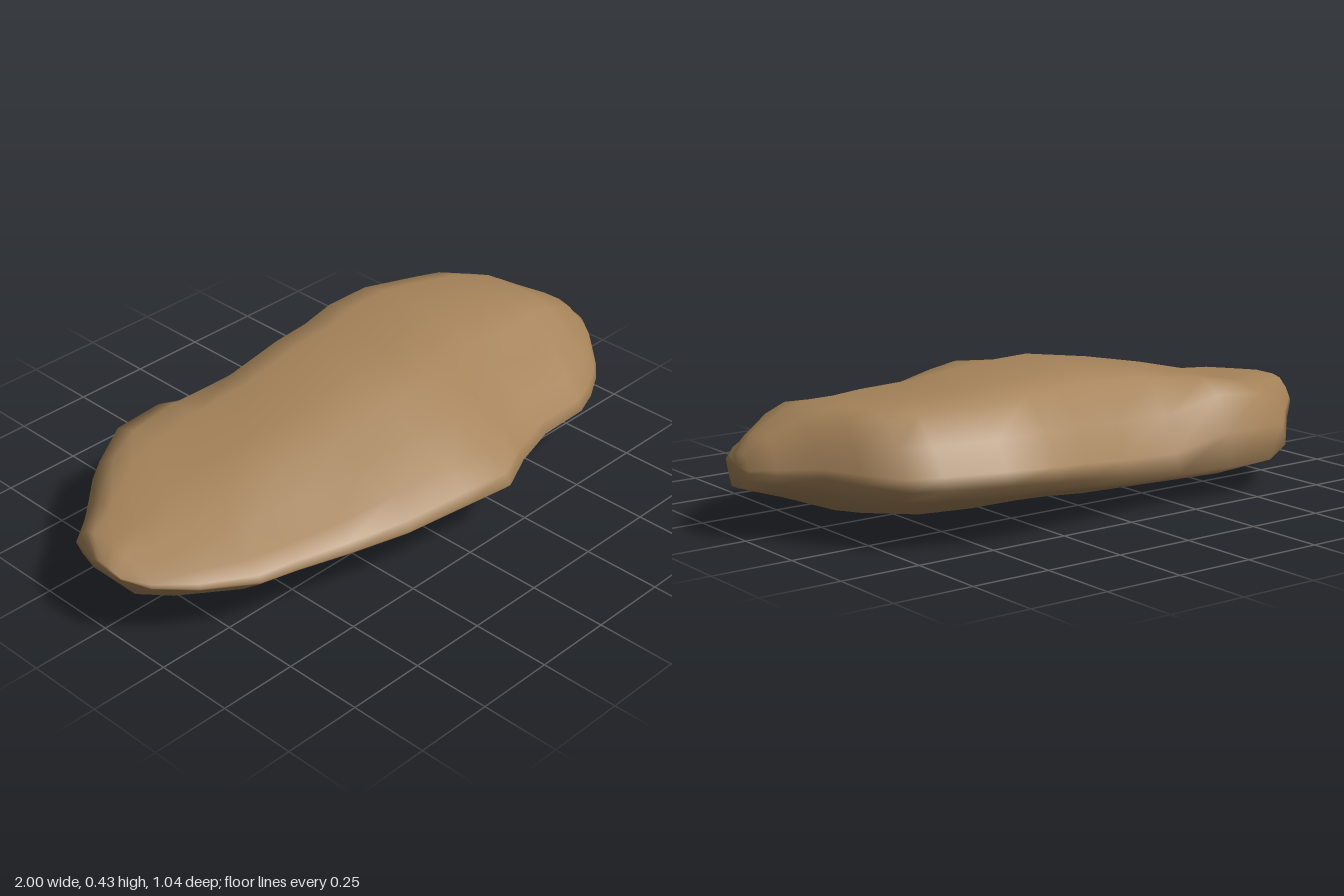
import * as THREE from 'three';

const lerp = THREE.MathUtils.lerp;

// Cross-sections along the length:
// x, back z, back edge y, front z, front edge y, top y, bottom y, rear underside y
const SECTIONS = [
  [-1.00, -0.04, 0.22, 0.09, 0.22, 0.235, 0.205, 0.205],
  [-0.95, -0.17, 0.19, 0.16, 0.20, 0.268, 0.14, 0.14],
  [-0.85, -0.26, 0.16, 0.25, 0.19, 0.285, 0.105, 0.11],
  [-0.70, -0.41, 0.12, 0.34, 0.18, 0.31, 0.06, 0.07],
  [-0.58, -0.47, 0.10, 0.37, 0.18, 0.325, 0.045, 0.05],
  [-0.42, -0.47, 0.10, 0.42, 0.18, 0.36, 0.035, 0.03],
  [-0.23, -0.45, 0.10, 0.47, 0.18, 0.395, 0.025, 0.03],
  [0.00, -0.48, 0.13, 0.50, 0.18, 0.425, 0.01, 0.04],
  [0.15, -0.50, 0.15, 0.52, 0.18, 0.425, 0.003, 0.055],
  [0.28, -0.525, 0.165, 0.46, 0.18, 0.425, 0.00, 0.07],
  [0.45, -0.525, 0.18, 0.405, 0.17, 0.415, 0.003, 0.075],
  [0.63, -0.46, 0.18, 0.40, 0.17, 0.40, 0.03, 0.085],
  [0.72, -0.42, 0.18, 0.365, 0.17, 0.39, 0.052, 0.095],
  [0.80, -0.31, 0.19, 0.32, 0.18, 0.382, 0.08, 0.11],
  [0.86, -0.20, 0.20, 0.27, 0.19, 0.35, 0.10, 0.125],
  [0.95, -0.10, 0.20, 0.17, 0.21, 0.30, 0.13, 0.14],
  [1.00, -0.03, 0.20, 0.10, 0.22, 0.25, 0.147, 0.155],
];

// One closed ring: over the top from back to front, then back underneath
function ring([x, zb, yb, zf, yf, top, low, rear]) {
  const h = top - low;
  const dip = 0.03 * h * Math.sin(x * 9);
  // The rear shoulder stands up into a steep ledge near the -x end
  const ledge = Math.exp(-(((x + 0.53) / 0.22) ** 2));
  return [
    [0, yb],
    [0.02, lerp(yb, top, 0.16 + 0.3 * ledge)],
    [0.07, lerp(yb, top, 0.52 + 0.38 * ledge)],
    [0.16, top - 0.08 * h * (1 - ledge)],
    [0.26, top - 0.015 * h],
    [0.5, top - Math.abs(dip) * 0.4],
    [0.66, top - 0.1 * h + dip],
    [0.78, lerp(yf, top, 0.56)],
    [0.92, lerp(yf, top, 0.36) - dip],
    [0.98, lerp(yf, top, 0.13)],
    [1, yf],
    [0.98, lerp(yf, low, 0.12)],
    [0.89, lerp(yf, low, 0.55)],
    [0.77, low],
    [0.5, low],
    [0.22, rear],
    [0.08, lerp(rear, yb, 0.5)],
  ].map(([t, y]) => [x, y, lerp(zb, zf, t)]);
}

// Skin the rings and close both ends
function loft(rings) {
  const n = rings[0].length;
  const last = rings.length - 1;
  const points = rings.flat();
  const index = [];
  for (let i = 0; i < last; i++) {
    for (let j = 0; j < n; j++) {
      const k = (j + 1) % n;
      const a = i * n + j, c = i * n + k;
      index.push(a, c, a + n, c, c + n, a + n);
    }
  }
  for (const i of [0, last]) {
    const center = points.length;
    points.push([0, 1, 2].map((q) => rings[i].reduce((s, p) => s + p[q], 0) / n));
    for (let j = 0; j < n; j++) {
      const a = i * n + j, b = i * n + (j + 1) % n;
      if (i === 0) index.push(center, b, a);
      else index.push(center, a, b);
    }
  }
  const geometry = new THREE.BufferGeometry();
  geometry.setAttribute('position', new THREE.Float32BufferAttribute(points.flat(), 3));
  geometry.setIndex(index);
  geometry.computeVertexNormals();
  return geometry;
}

export function createModel() {
  const model = new THREE.Group();
  model.name = 'flatRock';
  const stone = new THREE.MeshStandardMaterial({ color: 0xa5835a });
  stone.name = 'brown stone';

  // Single weathered slab
  const slab = new THREE.Mesh(loft(SECTIONS.map(ring)), stone);
  slab.name = 'rockSlab';
  model.add(slab);
  return model;
}
